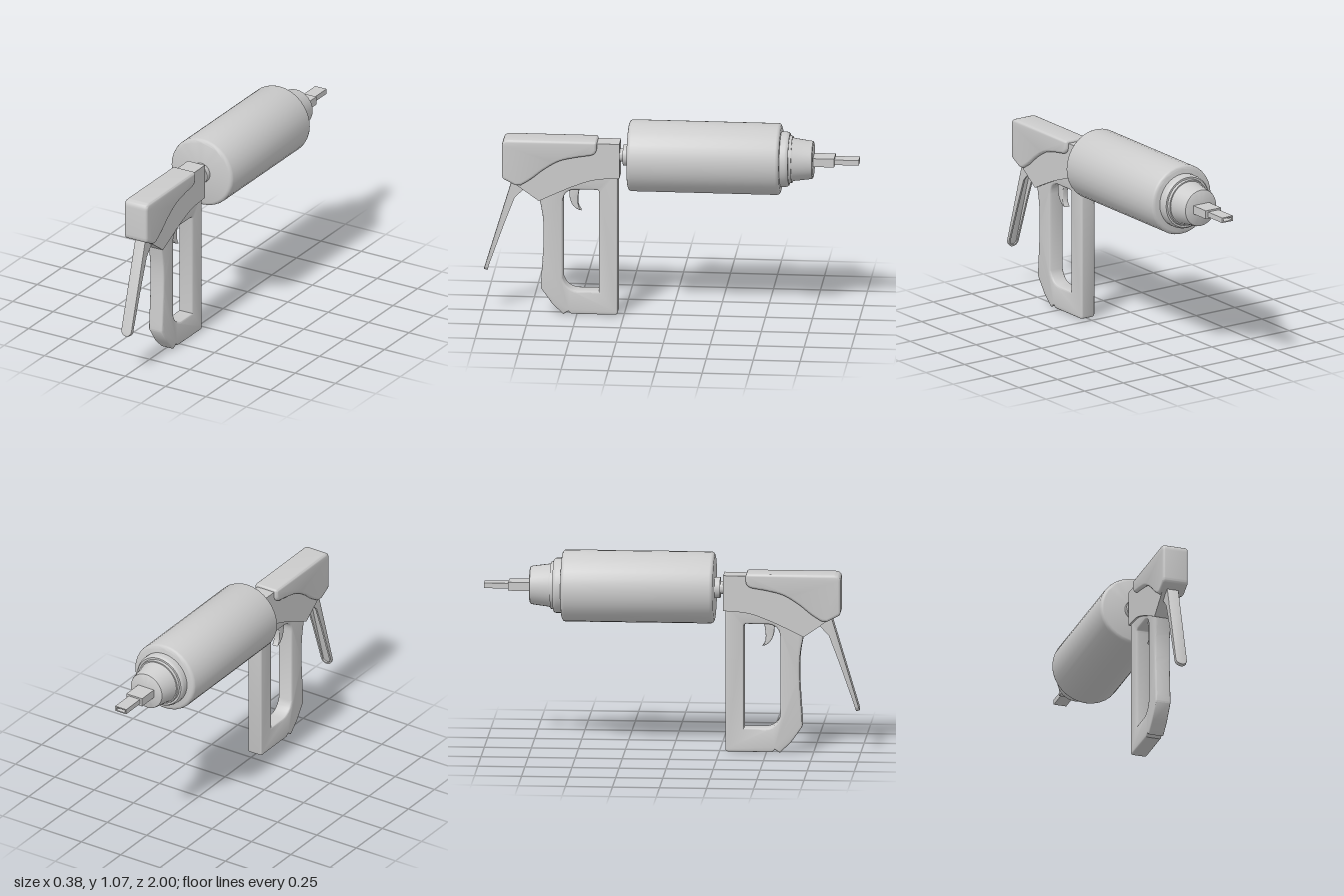
import * as THREE from 'three';
import { toCreasedNormals } from 'three/addons/utils/BufferGeometryUtils.js';

const material = new THREE.MeshStandardMaterial({ color: 0xcccccc });
const AXIS_Y = 0.882; // height of the barrel axis

function part(name, geometry, parent) {
  const mesh = new THREE.Mesh(geometry, material);
  mesh.name = name;
  parent.add(mesh);
  return mesh;
}

const vectors = (points) => points.map(([a, b]) => new THREE.Vector2(a, b));

// Extrudes a (z, y) outline across x, centred, keeping the drawn outline size
function sideExtrude(shape, width, bevel = 0) {
  const geometry = new THREE.ExtrudeGeometry(shape, {
    depth: width - 2 * bevel, bevelEnabled: bevel > 0, bevelThickness: bevel,
    bevelSize: bevel, bevelOffset: -bevel, bevelSegments: 3, curveSegments: 6,
  });
  geometry.translate(0, 0, bevel - width / 2).rotateY(-Math.PI / 2);
  return toCreasedNormals(geometry, 0.6);
}

// Turns a [radius, z] profile (z increasing) about the barrel axis
function turned(profile) {
  const geometry = new THREE.LatheGeometry(vectors(profile), 32);
  geometry.rotateX(Math.PI / 2).translate(0, AXIS_Y, 0);
  return toCreasedNormals(geometry, 0.6);
}

function addBarrel(group) {
  part('barrel', turned([
    [0, -0.585], [0.172, -0.585], [0.181, -0.582], [0.188, -0.576], [0.191, -0.566],
    [0.191, 0.205], [0.188, 0.215], [0.181, 0.222], [0.172, 0.225], [0, 0.225],
  ]), group);
  part('barrelFlange', turned([
    [0, -0.645], [0.125, -0.645], [0.128, -0.63], [0.138, -0.63], [0.145, -0.622], [0.147, -0.612], [0.147, -0.58],
  ]), group);
  part('noseCap', turned([
    [0, -0.757], [0.092, -0.757], [0.099, -0.753], [0.102, -0.745], [0.114, -0.655], [0.121, -0.64],
  ]), group);
  part('rearConnector', turned([
    [0.056, 0.22], [0.056, 0.255], [0.035, 0.255], [0.035, 0.29],
  ]), group);

  // Stepped flat rod, with a hollow outer end
  part('rodBase', new THREE.BoxGeometry(0.1, 0.046, 0.13).translate(0, AXIS_Y, -0.805), group);
  const tube = new THREE.Shape(vectors([[-0.035, -0.014], [0.035, -0.014], [0.035, 0.014], [-0.035, 0.014]]));
  tube.holes.push(new THREE.Path(vectors([[-0.027, -0.008], [-0.027, 0.008], [0.027, 0.008], [0.027, -0.008]])));
  const tubeGeometry = new THREE.ExtrudeGeometry(tube, { depth: 0.14, bevelEnabled: false });
  part('rodTip', tubeGeometry.translate(0, AXIS_Y, -1), group);
}

function addHousing(group) {
  // Wide upper cover with a sweeping lower edge
  const cover = new THREE.Shape();
  cover.moveTo(0.405, 0.97);
  cover.quadraticCurveTo(0.392, 0.97, 0.392, 0.955);
  cover.lineTo(0.392, 0.93);
  cover.quadraticCurveTo(0.394, 0.9, 0.425, 0.892);
  cover.splineThru(vectors([[0.513, 0.877], [0.594, 0.855], [0.674, 0.807], [0.738, 0.755], [0.797, 0.717]]));
  cover.lineTo(0.825, 0.717);
  cover.lineTo(0.885, 0.748);
  cover.quadraticCurveTo(0.896, 0.755, 0.896, 0.775);
  cover.lineTo(0.896, 0.935);
  cover.quadraticCurveTo(0.896, 0.97, 0.86, 0.97);
  part('upperCover', sideExtrude(cover, 0.142, 0.014), group);

  // Narrower core below and behind the cover
  const core = new THREE.Shape();
  core.moveTo(0.272, 0.957);
  core.lineTo(0.272, 0.766);
  core.splineThru(vectors([[0.4, 0.755], [0.51, 0.719], [0.62, 0.669], [0.7, 0.63]]));
  core.lineTo(0.78, 0.687);
  core.lineTo(0.84, 0.73);
  core.lineTo(0.86, 0.95);
  part('housingCore', sideExtrude(core, 0.105), group);
}

function addHandle(group) {
  const frame = new THREE.Shape();
  frame.moveTo(0.282, 0.8);
  frame.lineTo(0.282, 0.02);
  frame.quadraticCurveTo(0.282, 0.003, 0.3, 0.003);
  frame.lineTo(0.53, 0.003);
  frame.lineTo(0.545, 0.016);
  frame.lineTo(0.572, 0.0);
  frame.lineTo(0.63, 0.055);
  frame.lineTo(0.69, 0.14);
  frame.splineThru(vectors([[0.69, 0.18], [0.677, 0.4], [0.68, 0.53], [0.7, 0.645]]));
  frame.lineTo(0.69, 0.8);

  // Finger opening
  const opening = new THREE.Path();
  opening.moveTo(0.395, 0.695);
  opening.lineTo(0.51, 0.695);
  opening.quadraticCurveTo(0.572, 0.69, 0.575, 0.625);
  opening.lineTo(0.575, 0.2);
  opening.quadraticCurveTo(0.555, 0.135, 0.495, 0.132);
  opening.lineTo(0.382, 0.132);
  opening.lineTo(0.382, 0.68);
  opening.quadraticCurveTo(0.382, 0.695, 0.395, 0.695);
  frame.holes.push(opening);
  part('handleFrame', sideExtrude(frame, 0.086, 0.01), group);

  // Hooked trigger
  const trigger = new THREE.Shape();
  trigger.moveTo(0.543, 0.71);
  trigger.lineTo(0.541, 0.65);
  trigger.quadraticCurveTo(0.53, 0.58, 0.478, 0.572);
  trigger.quadraticCurveTo(0.512, 0.61, 0.482, 0.71);
  part('trigger', sideExtrude(trigger, 0.034, 0.004), group);
}

// Swinging lever: round-tipped plate with a raised rim on its inner face
function addLever(group) {
  const lever = new THREE.Group();
  lever.name = 'lever';
  lever.position.set(0, 0.74, 0.845);
  lever.rotation.x = -0.29;
  group.add(lever);

  const outline = (type, half, top, length) => {
    const path = new type();
    path.moveTo(half, top);
    path.lineTo(-half, top);
    path.lineTo(-half, half - length);
    path.absarc(0, half - length, half, Math.PI, Math.PI * 2, false);
    path.closePath();
    return path;
  };
  const plate = new THREE.ExtrudeGeometry(outline(THREE.Shape, 0.032, 0.02, 0.532),
    { depth: 0.004, bevelThickness: 0.004, bevelSize: 0.004, bevelOffset: -0.004, bevelSegments: 2 });
  part('leverPlate', toCreasedNormals(plate.translate(0, 0, -0.008), 0.6), lever);

  const rim = outline(THREE.Shape, 0.032, 0.02, 0.532);
  rim.holes.push(outline(THREE.Path, 0.022, 0.01, 0.522));
  const rimGeometry = new THREE.ExtrudeGeometry(rim, { depth: 0.016, bevelEnabled: false });
  part('leverRim', toCreasedNormals(rimGeometry.translate(0, 0, -0.02), 0.6), lever);

  // Side walls deepen toward the pivot
  const wall = new THREE.Shape(vectors([
    [-0.006, 0], [-0.08, 0], [-0.075, -0.03], [-0.042, -0.095], [-0.031, -0.25], [-0.02, -0.48], [-0.006, -0.48],
  ]));
  for (const side of [-1, 1]) {
    part(side > 0 ? 'leverWallLeft' : 'leverWallRight', sideExtrude(wall, 0.01), lever).position.x = side * 0.027;
  }
}

export function createModel() {
  const group = new THREE.Group();
  group.name = 'dispenserGun';
  addBarrel(group);
  addHousing(group);
  addHandle(group);
  addLever(group);
  return group;
}
